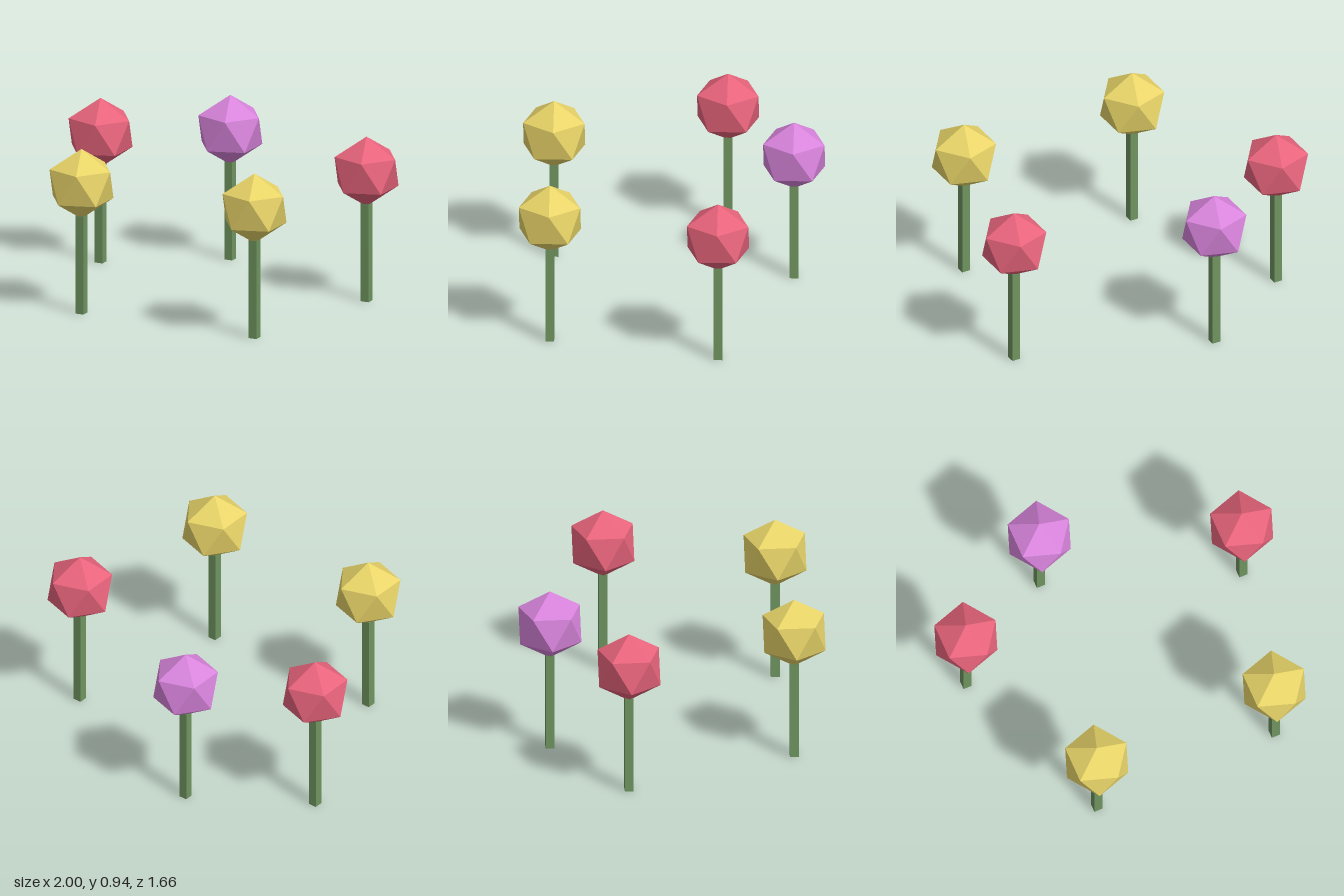
import * as THREE from 'three';

const BLOOM_RADIUS = 0.198;
const BLOOM_Y = 0.737;
const STEM_WIDTH = 0.048;
const STEM_HEIGHT = 0.56;

const paint = (color) => new THREE.MeshStandardMaterial({ color, flatShading: true });

export function createModel() {
  const model = new THREE.Group();
  model.name = 'flowerPatch';

  const green = paint(0x6f9460);
  const red = paint(0xe8647c);
  const yellow = paint(0xe8d468);
  const purple = paint(0xd884dc);

  // Square stem standing on the ground, ending just inside the bloom
  const stemGeometry = new THREE.BoxGeometry(STEM_WIDTH, STEM_HEIGHT, STEM_WIDTH);
  stemGeometry.translate(0, STEM_HEIGHT / 2, 0);

  // Faceted bloom, turned so one corner points straight up
  const golden = (1 + Math.sqrt(5)) / 2;
  const bloomGeometry = new THREE.IcosahedronGeometry(BLOOM_RADIUS, 0);
  bloomGeometry.rotateZ(-Math.atan(1 / golden));
  bloomGeometry.translate(0, BLOOM_Y, 0);

  // Flowers: x, z, bloom material
  const flowers = [
    [-0.822, -0.28, red],
    [0.822, -0.28, red],
    [-0.22, -0.662, purple],
    [-0.447, 0.66, yellow],
    [0.616, 0.648, yellow],
  ];
  for (const [x, z, material] of flowers) {
    const flower = new THREE.Group();
    flower.name = 'flower';
    const stem = new THREE.Mesh(stemGeometry, green);
    stem.name = 'stem';
    const bloom = new THREE.Mesh(bloomGeometry, material);
    bloom.name = 'bloom';
    flower.add(stem, bloom);
    flower.position.set(x, 0, z);
    model.add(flower);
  }
  return model;
}
